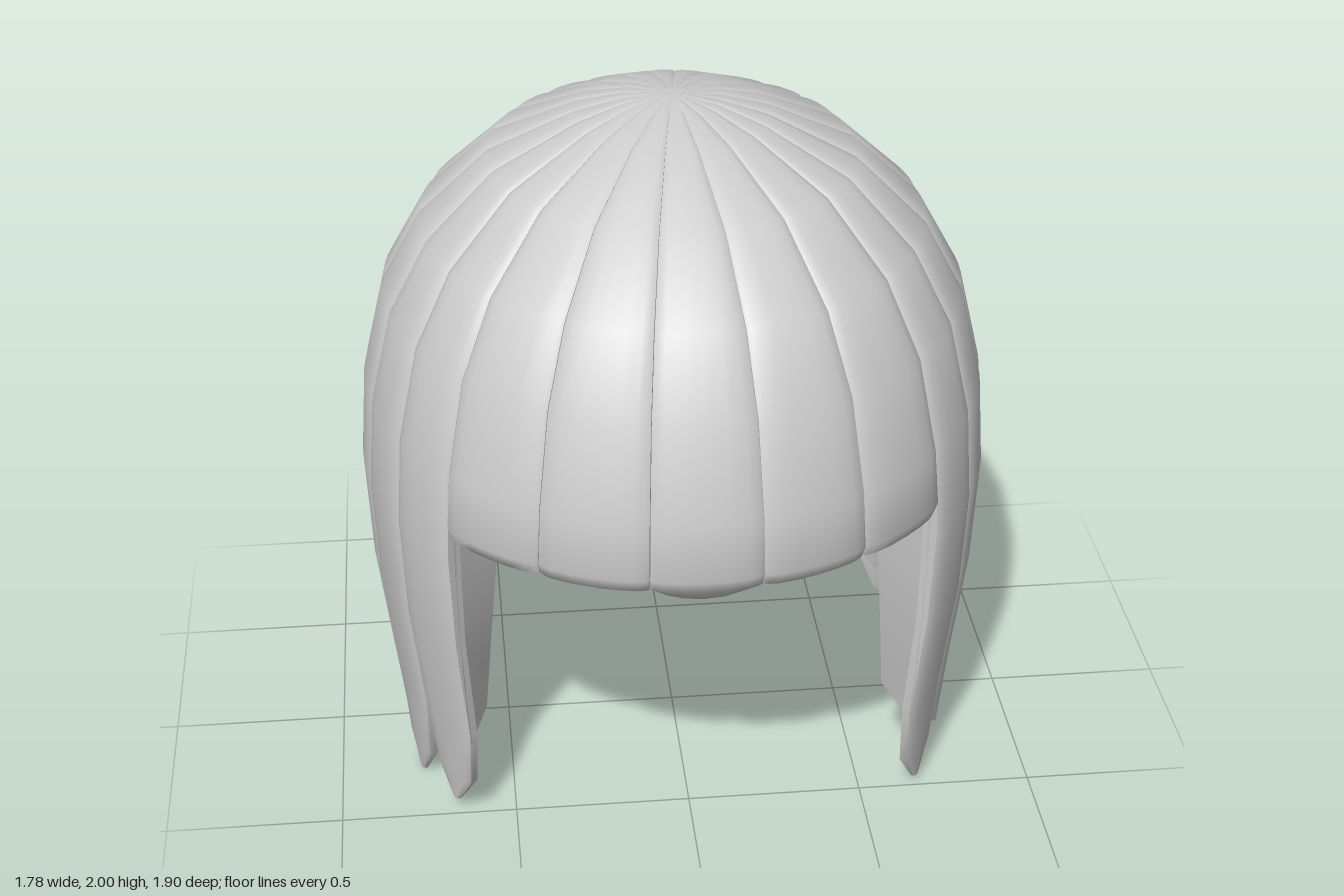
import * as THREE from 'three';
import { toCreasedNormals } from 'three/addons/utils/BufferGeometryUtils.js';

const RX = 0.885, RZ = 0.95;            // plan half-widths of the oval head
const OPEN = THREE.MathUtils.degToRad(49); // half-angle of the face opening
const CAP = 0.77;                       // relative radius of the inner cap
const BOTTOM = 0.3, CEILING = 1.08;     // height range of the inner cap

// Dome rows shared by every lock: [relative radius, height, width, thickness]
const DOME = [
  [0.03, 2.0, 1, 0.015], [0.16, 1.985, 1, 0.04], [0.3, 1.95, 1, 0.05], [0.57, 1.84, 1, 0.06],
  [0.785, 1.66, 1, 0.06], [0.91, 1.46, 1, 0.06], [0.98, 1.2, 1, 0.06],
];

// Point on the oval plan at relative radius r, height y and angle a from the front
const ovalPoint = (r, y, a) => [r * RX * Math.sin(a), y, r * RZ * Math.cos(a)];

// Closed strand lofted from crescent sections; u runs across the lock
function lockGeometry(angle, half, rows, lift) {
  const outer = [-1, -0.92, -0.75, -0.4, 0, 0.4, 0.75, 0.92, 1];
  const inner = [1, 0.5, 0, -0.5, -1];
  const n = outer.length + inner.length;
  const pos = [], idx = [];
  const put = (r, y, a) => pos.push(...ovalPoint(r, y, a));
  rows.forEach(([r, y, w, th], j) => {
    const up = j === rows.length - 1 ? lift : 0;
    for (const u of outer) {
      const drop = 0.014 * u ** 6;
      put(r * (1.003 - drop), y - drop * r * Math.max(0, y - 1) + up * u * u, angle + half * w * u);
    }
    for (const u of inner) put(r - th, y - 0.01 * r * Math.max(0, y - 1) + up * u * u, angle + half * w * u);
  });
  for (let j = 0; j < rows.length - 1; j++) {
    for (let i = 0; i < n; i++) {
      const a = j * n + i, d = j * n + (i + 1) % n;
      idx.push(a, a + n, d, a + n, d + n, d);
    }
  }
  // Cap the lower end
  const [r, y, , th] = rows[rows.length - 1];
  const c = pos.length / 3, base = (rows.length - 1) * n;
  put(r - th / 2, y, angle);
  for (let i = 0; i < n; i++) idx.push(c, base + (i + 1) % n, base + i);
  const g = new THREE.BufferGeometry();
  g.setAttribute('position', new THREE.Float32BufferAttribute(pos, 3));
  g.setIndex(idx);
  return toCreasedNormals(g, 0.85);
}

// Sheet over the height of the inner cap whose points follow a rule of u and height
function sheetGeometry(nu, nv, rule) {
  const g = new THREE.PlaneGeometry(1, 1, nu, nv);
  const p = g.attributes.position;
  for (let i = 0; i < p.count; i++) {
    p.setXYZ(i, ...rule(p.getX(i) + 0.5, THREE.MathUtils.lerp(BOTTOM, CEILING, p.getY(i) + 0.5)));
  }
  g.computeVertexNormals();
  return g;
}

export function createModel() {
  const model = new THREE.Group();
  model.name = 'hair';
  const hair = new THREE.MeshStandardMaterial({ color: 0xcccccc, side: THREE.DoubleSide });
  hair.name = 'hairGrey';
  const add = (name, geometry) => {
    const mesh = new THREE.Mesh(geometry, hair);
    mesh.name = name;
    model.add(mesh);
    return mesh;
  };

  // Fringe: five short blunt locks over the face
  const fringeStep = (2 * OPEN) / 5;
  [0.975, 0.96, 0.942, 0.96, 0.975].forEach((end, i) => {
    const rows = [...DOME, [0.998, 1.045, 1, 0.07], [0.985, 1.01, 0.99, 0.07], [0.91, end, 0.97, 0.03]];
    add('fringeLock', lockGeometry((i - 2) * fringeStep, fringeStep * 0.497, rows, 0.022));
  });

  // Long locks from the model's left, around the back, to its right; values are tip heights
  const tips = [0.02, 0.06, 0.03, 0.12, 0.09, 0.11, 0.17, 0.12, 0.16, 0.16, 0.11, 0.16, 0.1, 0.08, 0.09, 0, 0.04];
  const step = (2 * Math.PI - 2 * OPEN) / tips.length;
  tips.forEach((tip, i) => {
    const rows = [
      ...DOME, [1, 0.95, 1, 0.06], [0.985, 0.65, 1, 0.05], [0.94, 0.32, 0.97, 0.04],
      [0.922, tip + 0.1, 0.75, 0.035], [0.91, tip, 0.13, 0.012],
    ];
    add('longLock', lockGeometry(OPEN + (i + 0.5) * step, step * 0.497, rows, 0));
  });

  // Inner cap: wall around the sides and back, its front edges swept back towards the bottom
  const wallStart = (y) => OPEN + 0.2 * (1 - y);
  add('innerWall', sheetGeometry(40, 4, (u, y) =>
    ovalPoint(CAP, y, THREE.MathUtils.lerp(wallStart(y), 2 * Math.PI - wallStart(y), u))));

  // Faces joining the cap to the first lock on both sides of the face
  for (const side of [1, -1]) {
    add('faceEdge', sheetGeometry(1, 4, (u, y) => {
      const a = new THREE.Vector3(...ovalPoint(CAP, y, side * wallStart(y)));
      const b = new THREE.Vector3(...ovalPoint(0.965 - 0.07 * (1 - y) ** 2, y, side * OPEN));
      return a.lerp(b, u).toArray();
    }));
  }

  // Flat ceiling of the cap, reaching the back of the locks
  const ceiling = add('innerCeiling', new THREE.CircleGeometry(0.945, 44).rotateX(Math.PI / 2));
  ceiling.scale.set(RX, 1, RZ);
  ceiling.position.y = CEILING;

  // Small crown where all locks meet
  add('crown', new THREE.CylinderGeometry(0.03, 0.04, 0.02, 20)).position.y = 1.99;
  return model;
}
